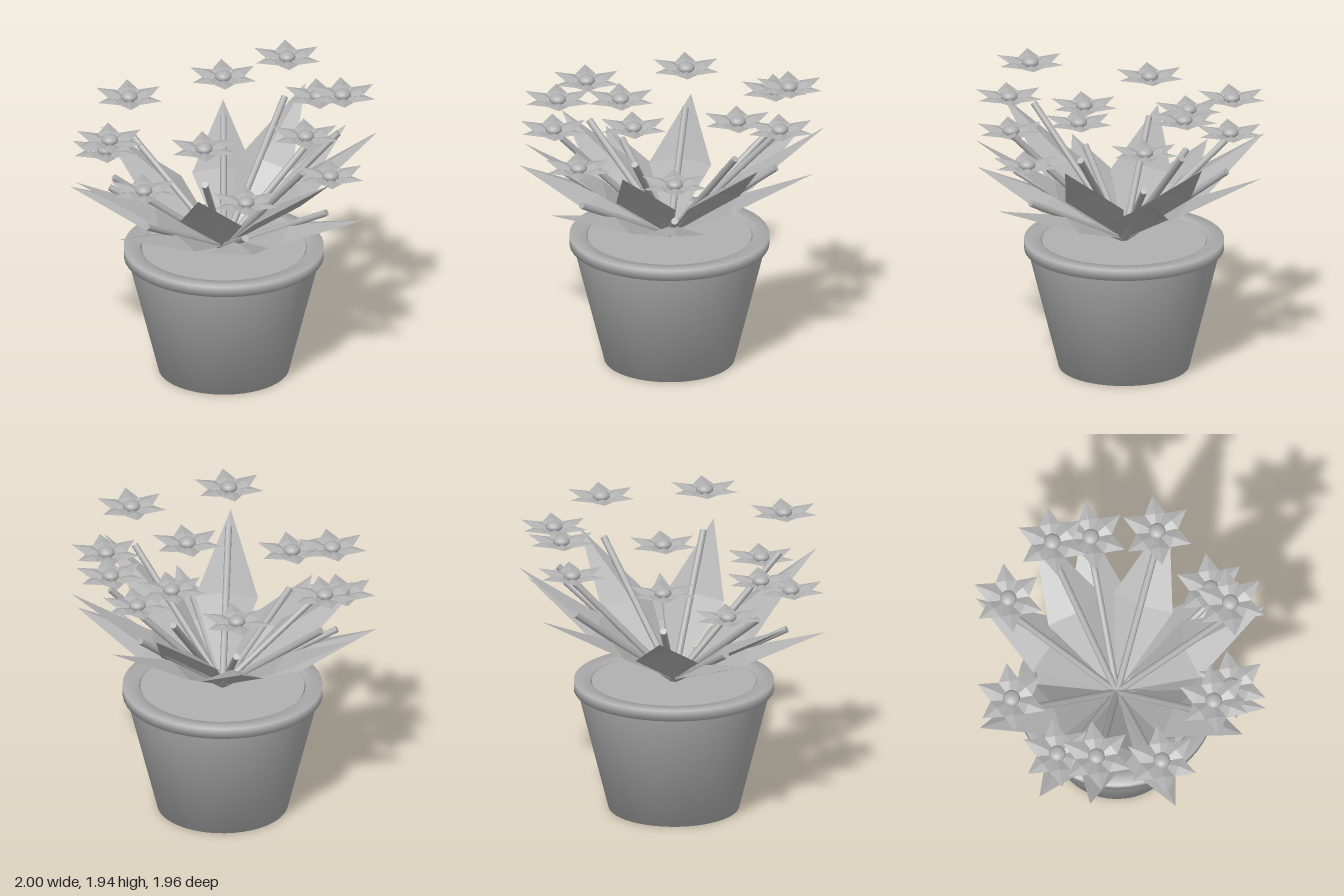
import * as THREE from 'three';

const grey = new THREE.MeshStandardMaterial({ color: 0xb0b0b0, side: THREE.DoubleSide });
grey.name = 'plainGrey';

const V = (x, y, z) => new THREE.Vector3(x, y, z);

// Pointed blade creased along its midrib: four flat facets around a raised middle
function bladeGeometry(base, tip, halfWidth, ridge) {
  const middle = base.clone().lerp(tip, 0.5);
  const along = tip.clone().sub(base).normalize();
  const across = along.clone().cross(V(0, 1, 0)).normalize();
  const left = middle.clone().addScaledVector(across, -halfWidth);
  const right = middle.clone().addScaledVector(across, halfWidth);
  middle.addScaledVector(across.cross(along), ridge);
  const points = [base, middle, left, left, middle, tip, tip, middle, right, right, middle, base];
  const geometry = new THREE.BufferGeometry().setFromPoints(points);
  geometry.computeVertexNormals();
  return geometry;
}

function addMesh(parent, geometry, name) {
  const mesh = new THREE.Mesh(geometry, grey);
  mesh.name = name;
  parent.add(mesh);
  return mesh;
}

const lathe = (profile) =>
  new THREE.LatheGeometry(profile.map(([r, y]) => new THREE.Vector2(r, y)), 48);

// Six petals around a flattened ball
function createFlower(petal, ball) {
  const flower = new THREE.Group();
  flower.name = 'flower';
  for (let i = 0; i < 6; i++) {
    addMesh(flower, petal, 'petal').rotation.y = (i * Math.PI) / 3;
  }
  addMesh(flower, ball, 'flowerCentre').scale.set(1, 0.66, 1);
  return flower;
}

export function createModel() {
  const model = new THREE.Group();
  model.name = 'pottedFlowers';
  const plant = new THREE.Group();
  plant.name = 'plantAndPot';
  plant.position.set(-0.007, 0, 0.015);
  model.add(plant);

  // Tapered pot, rim and soil
  addMesh(plant, lathe([[0, 0], [0.422, 0], [0.622, 0.8]]), 'pot');
  addMesh(plant, lathe([[0.54, 0.795], [0.645, 0.795], [0.645, 0.865], [0.54, 0.865], [0.54, 0.795]]), 'rim');
  const soil = addMesh(plant, new THREE.CylinderGeometry(0.53, 0.53, 0.05, 48), 'soil');
  soil.position.y = 0.828;

  // Flower positions (x, z) and height level
  const blooms = [
    [-0.36, -0.675, 1], [0.06, -0.755, 2], [0.32, -0.685, 1], [0.64, -0.4, 2],
    [0.76, 0.01, 0], [0.715, 0.275, 2], [0.46, 0.62, 0], [0.22, 0.745, 2],
    [-0.21, 0.755, 0], [-0.57, 0.53, 1], [-0.715, 0.305, 0], [-0.76, -0.12, 1],
  ];
  const petal = bladeGeometry(V(0, -0.024, 0), V(0.238, 0.014, 0), 0.067, 0.018);
  const ball = new THREE.SphereGeometry(0.055, 16, 12);
  const root = V(0, 0.86, 0);

  for (const [bx, bz, level] of blooms) {
    const x = bx - plant.position.x;
    const z = bz - plant.position.z;
    const top = 1.25 + level * 0.19;

    // Stem
    const end = V(x * 0.965, top, z * 0.965);
    const direction = end.clone().sub(root);
    const stemGeometry = new THREE.CylinderGeometry(0.022, 0.022, direction.length(), 10);
    const stem = addMesh(plant, stemGeometry, 'stem');
    stem.position.copy(root).lerp(end, 0.5);
    stem.quaternion.setFromUnitVectors(V(0, 1, 0), direction.normalize());

    // Leaf reaching out beneath the stem
    const tip = V(x * 1.3, top - 0.003, z * 1.3);
    addMesh(plant, bladeGeometry(root, tip, 0.202, 0.065), 'leaf');

    // Flower hovering over the stem
    const flower = createFlower(petal, ball);
    flower.position.set(x, 1.517 + level * 0.192, z);
    plant.add(flower);
  }
  return model;
}
